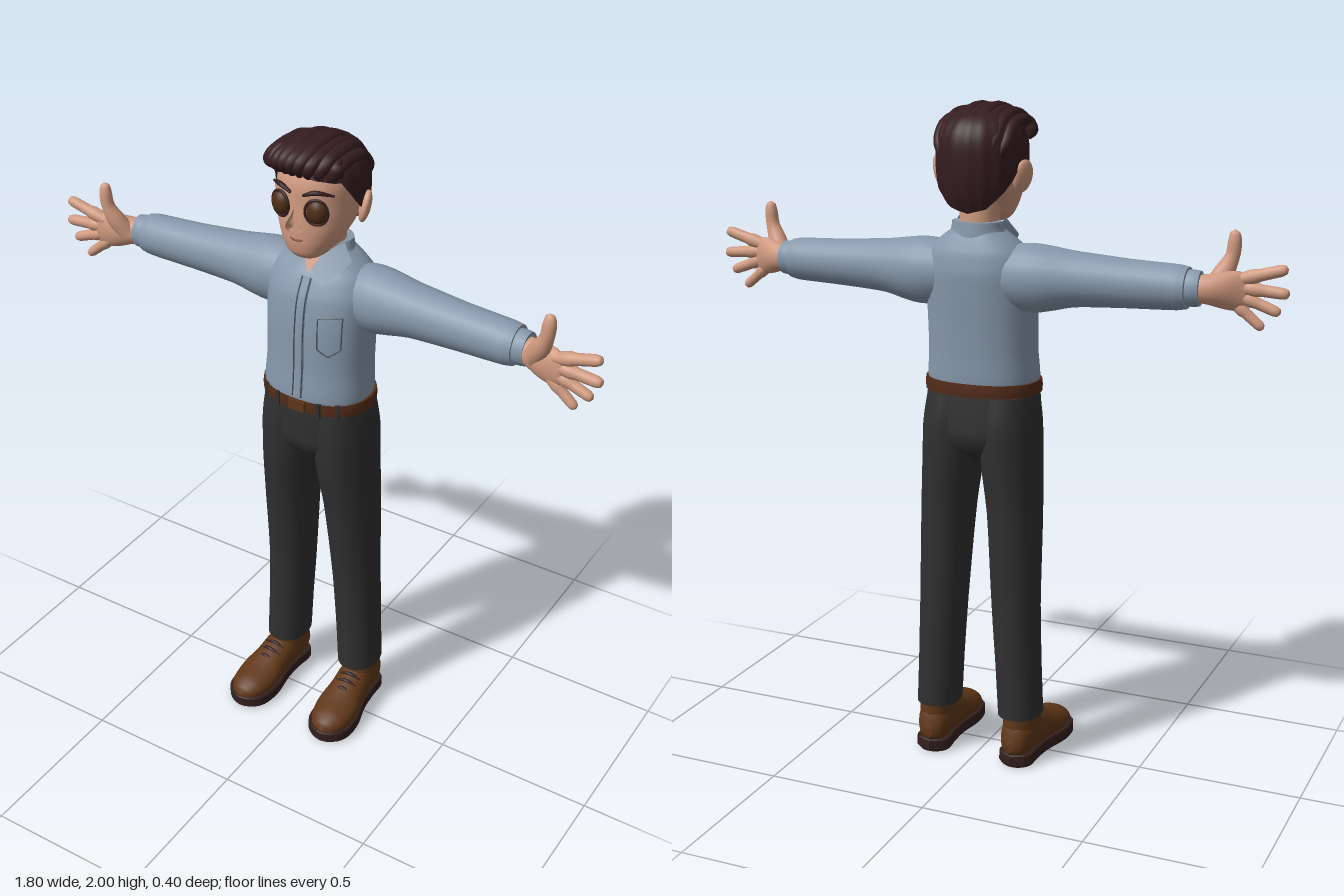
import * as THREE from 'three';

const mat = (name, color, side = THREE.FrontSide) =>
  Object.assign(new THREE.MeshStandardMaterial({ color, side }), { name });
const V = (x, y, z) => new THREE.Vector3(x, y, z);
const X = V(1, 0, 0), Y = V(0, 1, 0), Z = V(0, 0, 1);

// Superelliptic tube through sections [x, y, z, ra, rb]; axis fixes the ring plane
function sweep(sections, { up = Z, axis = null, seg = 24, steps = 4, p = 1 } = {}) {
  const path = new THREE.CatmullRomCurve3(sections.map(s => V(s[0], s[1], s[2])));
  const size = new THREE.CatmullRomCurve3(sections.map(s => V(s[3], s[4], 0)));
  const n = (sections.length - 1) * steps, pos = [], idx = [];
  for (let i = 0; i <= n; i++) {
    const c = path.getPoint(i / n), r = size.getPoint(i / n);
    const T = axis || path.getTangent(i / n);
    const A = V().crossVectors(T, up).normalize(), B = V().crossVectors(A, T).normalize();
    for (let j = 0; j < seg; j++) {
      const a = j / seg * Math.PI * 2, ca = Math.cos(a), sa = Math.sin(a);
      const q = c.clone()
        .addScaledVector(A, r.x * Math.sign(ca) * Math.abs(ca) ** p)
        .addScaledVector(B, r.y * Math.sign(sa) * Math.abs(sa) ** p);
      pos.push(q.x, q.y, q.z);
      if (i < n) {
        const k = i * seg + j, l = i * seg + (j + 1) % seg;
        idx.push(k, k + seg, l, l, k + seg, l + seg);
      }
    }
  }
  // end caps with their own vertices
  for (const [row, flip] of [[0, false], [n, true]]) {
    const base = pos.length / 3, c = path.getPoint(row / n);
    for (let j = 0; j < seg; j++) pos.push(...pos.slice((row * seg + j) * 3, (row * seg + j) * 3 + 3));
    pos.push(c.x, c.y, c.z);
    for (let j = 0; j < seg; j++) {
      const k = base + j, l = base + (j + 1) % seg;
      idx.push(base + seg, flip ? l : k, flip ? k : l);
    }
  }
  return build(pos, idx);
}

function build(pos, idx) {
  const g = new THREE.BufferGeometry();
  g.setAttribute('position', new THREE.Float32BufferAttribute(pos, 3));
  g.setIndex(idx);
  g.computeVertexNormals();
  return g;
}

// Linear lookup in a table of [key, value]
function lookup(table, k) {
  let i = 0;
  while (i < table.length - 2 && k > table[i + 1][0]) i++;
  const [a, b] = [table[i], table[i + 1]];
  return THREE.MathUtils.lerp(a[1], b[1], THREE.MathUtils.clamp((k - a[0]) / (b[0] - a[0]), 0, 1));
}

const torso = [[0, 1.17, -.045, .163, .121], [0, 1.21, -.045, .168, .126], [0, 1.3, -.05, .163, .123],
  [0, 1.42, -.055, .165, .124], [0, 1.52, -.065, .168, .119], [0, 1.58, -.075, .152, .1],
  [0, 1.62, -.083, .11, .076], [0, 1.65, -.085, .068, .06]];
const torsoP = .85;
// Shirt front depth at a given place
function shirtFront(x, y) {
  const at = i => lookup(torso.map(s => [s[1], s[i]]), y);
  const n = 2 / torsoP;
  return at(2) + at(4) * (1 - Math.min(1, Math.abs(x) / at(3)) ** n) ** (1 / n);
}

export function createModel() {
  const root = new THREE.Group();
  root.name = 'standingMan';
  const skin = mat('skin', 0xd09a80), hair = mat('hair', 0x351d20, THREE.DoubleSide),
    shirt = mat('shirt', 0x8798ab, THREE.DoubleSide), seam = mat('seam', 0x4c5763),
    trousers = mat('trousers', 0x303030), leather = mat('shoeLeather', 0x603718),
    sole = mat('sole', 0x33201e), beltMat = mat('belt', 0x542c1a),
    eyeMat = mat('eyeBrown', 0x4d2e16), lip = mat('lip', 0x7d4538);
  const add = (name, geo, m, parent = root) => {
    const mesh = new THREE.Mesh(geo, m);
    mesh.name = name;
    parent.add(mesh);
    return mesh;
  };
  const upright = { axis: Y, seg: 40 };

  // Shirt body, placket, seams and pocket
  add('shirtBody', sweep(torso, { ...upright, p: torsoP }), shirt);
  const strip = (x, ra, rb, out) => sweep(torso.slice(1, 6).map(s => [x, s[1], s[2] + s[4] + out, ra, rb]), { axis: Y, seg: 8 });
  add('placket', strip(0, .016, .004, 0), shirt);
  for (const x of [-.016, .012]) add('placketSeam', strip(x, .002, .003, .001), seam);
  const pocket = [[.055, 1.475], [.122, 1.485], [.122, 1.385], [.09, 1.36], [.058, 1.38]];
  pocket.forEach(([x0, y0], i) => {
    const [x1, y1] = pocket[(i + 1) % pocket.length];
    const pts = [0, .33, .67, 1].map(t => {
      const x = x0 + (x1 - x0) * t, y = y0 + (y1 - y0) * t;
      return [x, y, shirtFront(x, y), .0022, .003];
    });
    add('pocketSeam', sweep(pts, { seg: 6, steps: 2 }), seam);
  });

  // Collar band, flaps and open neck
  add('collarBand', sweep([[0, 1.62, -.085, .092, .072], [0, 1.645, -.088, .08, .066], [0, 1.668, -.095, .074, .056]],
    upright), shirt);
  for (const s of [1, -1]) {
    const flap = [[.006, 1.608, .014], [.058, 1.575, .042], [.108, 1.628, -.04], [.074, 1.675, -.055], [.03, 1.645, -.01]];
    add('collarFlap', build(flap.flatMap(([x, y, z]) => [x * s, y, z]),
      s > 0 ? [0, 1, 4, 1, 2, 4, 2, 3, 4] : [0, 4, 1, 1, 4, 2, 2, 4, 3]), shirt);
  }
  add('openNeck', build([-.036, 1.655, -.01, 0, 1.593, .024, .036, 1.655, -.01], [0, 1, 2]), skin);
  add('neck', sweep([[0, 1.58, -.08, .06, .056], [0, 1.66, -.078, .058, .057], [0, 1.74, -.065, .062, .065]], upright), skin);

  // Trouser seat, belt and buckle
  add('trouserSeat', sweep([[0, .955, -.06, .02, .06], [0, 1, -.055, .13, .11], [0, 1.05, -.053, .178, .125],
    [0, 1.12, -.049, .176, .123], [0, 1.175, -.046, .17, .12]], { ...upright, p: .9 }), trousers);
  add('belt', sweep([[0, 1.162, -.046, .176, .128], [0, 1.18, -.046, .177, .129], [0, 1.2, -.046, .175, .128]],
    { ...upright, p: .87 }), beltMat);
  add('buckle', new THREE.BoxGeometry(.055, .034, .012), leather).position.set(0, 1.181, .083);
  for (const s of [1, -1])
    for (const x of [.07, .12])
      add('beltLoop', new THREE.BoxGeometry(.012, .046, .012), trousers).position.set(s * x, 1.18, x < .1 ? .075 : .05);

  for (const s of [1, -1]) {
    const m = list => list.map(([x, ...r]) => [x * s, ...r]);

    // Trouser leg
    add('trouserLeg', sweep(m([[.137, .155, -.08, .066, .081], [.13, .3, -.08, .067, .081], [.12, .5, -.078, .071, .084],
      [.108, .8, -.062, .079, .104], [.096, .95, -.055, .086, .12], [.09, 1.06, -.053, .088, .124],
      [.085, 1.16, -.048, .08, .115]]), { axis: Y, seg: 28, p: .92 }), trousers);

    // Sleeve and cuff
    add('sleeve', sweep(m([[.06, 1.515, -.08, .085, .08], [.17, 1.511, -.08, .1, .091], [.3, 1.515, -.073, .08, .077],
      [.45, 1.513, -.067, .07, .067], [.6, 1.512, -.062, .064, .062], [.626, 1.512, -.062, .059, .058]])), shirt);
    add('cuff', sweep(m([[.61, 1.512, -.06, .051, .047], [.64, 1.512, -.059, .052, .047], [.66, 1.512, -.058, .05, .044]])), shirt);

    // Hand with four fingers and a thumb
    const hand = new THREE.Group();
    hand.name = s > 0 ? 'leftHand' : 'rightHand';
    root.add(hand);
    add('palm', sweep(m([[.64, 1.512, -.057, .038, .034], [.68, 1.51, -.048, .043, .038], [.72, 1.508, -.032, .053, .034],
      [.755, 1.506, -.02, .056, .024], [.78, 1.506, -.013, .046, .016], [.79, 1.506, -.012, .02, .006]])), skin, hand);
    const digit = (name, [x0, y0, z0], [x1, y1, z1], r) => {
      const at = (t, k) => [x0 + (x1 - x0) * t, y0 + (y1 - y0) * t, z0 + (z1 - z0) * t, r * k, r * k];
      add(name, sweep(m([at(0, 1), at(.45, 1), at(.85, .95), at(.96, .7), at(1, .08)]), { seg: 14 }), skin, hand);
    };
    digit('indexFinger', [.755, 1.537, -.017], [.893, 1.575, -.012], .0175);
    digit('middleFinger', [.76, 1.516, -.016], [.9, 1.505, -.012], .0175);
    digit('ringFinger', [.755, 1.495, -.016], [.876, 1.45, -.012], .0165);
    digit('littleFinger', [.74, 1.477, -.018], [.83, 1.403, -.014], .0155);
    add('thumb', sweep(m([[.685, 1.51, -.03, .03, .028], [.712, 1.555, -.012, .029, .025], [.732, 1.6, -.003, .021, .019],
      [.737, 1.64, -.002, .02, .018], [.737, 1.665, -.003, .014, .012], [.737, 1.673, -.003, .002, .002]]), { seg: 16 }), skin, hand);

    // Shoe
    const shoe = new THREE.Group();
    shoe.name = s > 0 ? 'leftShoe' : 'rightShoe';
    shoe.position.x = s * .147;
    shoe.rotation.y = s * .06;
    root.add(shoe);
    const half = [[.048, -.135], [.05, -.07], [.054, 0], [.072, .09], [.06, .165]];
    const outline = new THREE.Shape(new THREE.SplineCurve([[0, -.163], ...half, [0, .2],
      ...half.map(([x, z]) => [-x, z]).reverse(), [0, -.163]].map(([x, z]) => new THREE.Vector2(x, -z))).getPoints(48));
    const soleGeo = new THREE.ExtrudeGeometry(outline, { depth: .03, bevelEnabled: true, bevelSize: .003, bevelThickness: .004, bevelSegments: 1 });
    add('shoeSole', soleGeo.rotateX(-Math.PI / 2).translate(0, .008, 0), sole, shoe);
    add('heel', new THREE.CylinderGeometry(.05, .05, .02, 24), sole, shoe).position.set(0, .01, -.108);
    add('shoeUpper', sweep([[0, .065, -.165, .01, .015], [0, .08, -.15, .038, .05], [0, .088, -.11, .054, .068],
      [0, .085, -.04, .057, .067], [0, .073, .02, .06, .057], [0, .06, .09, .069, .043], [0, .052, .15, .06, .036],
      [0, .045, .185, .036, .024], [0, .042, .198, .005, .005]], { up: Y, axis: Z, seg: 28 }), leather, shoe);
    add('shoeAnkle', sweep([[0, .08, -.075, .056, .078], [0, .13, -.08, .055, .074], [0, .17, -.083, .054, .068]],
      { axis: Y }), leather, shoe);
    for (const [y, z] of [[.138, 0], [.128, .025], [.115, .05]])
      add('lace', sweep([[-.035, y - .016, z, .005, .005], [0, y, z + .003, .006, .006], [.035, y - .016, z, .005, .005]],
        { up: Y, seg: 8 }), sole, shoe);

    // Ear, eye, eye rim and brow
    const ear = add('ear', new THREE.SphereGeometry(1, 20, 14), skin);
    ear.scale.set(.016, .049, .033);
    ear.position.set(s * .131, 1.798, -.068);
    ear.rotation.set(0, s * .5, -s * .22);
    const eye = add('eye', new THREE.SphereGeometry(1, 24, 16), eyeMat);
    eye.scale.set(.031, .036, .024);
    eye.position.set(s * .058, 1.815, .064);
    eye.rotation.y = s * .2;
    const rim = add('eyeRim', new THREE.TorusGeometry(.033, .004, 8, 28), hair);
    rim.scale.y = 1.12;
    rim.position.set(s * .058, 1.815, .07);
    rim.rotation.y = s * .28;
    add('eyebrow', sweep(m([[.02, 1.86, .078, .005, .004], [.055, 1.874, .073, .008, .007], [.098, 1.862, .04, .003, .003]]),
      { up: Y, seg: 10 }), hair);
  }

  // Head, nose and mouth
  add('head', sweep([[0, 1.652, .025, .01, .01], [0, 1.658, .022, .04, .036], [0, 1.675, .012, .063, .062],
    [0, 1.71, -.007, .086, .089], [0, 1.75, -.028, .105, .111], [0, 1.8, -.045, .115, .125], [0, 1.87, -.05, .118, .126],
    [0, 1.93, -.055, .1, .11], [0, 1.965, -.055, .04, .05]], { ...upright, p: .93 }), skin);
  add('nose', sweep([[0, 1.835, .068, .008, .008], [0, 1.8, .085, .012, .013], [0, 1.772, .1, .021, .02],
    [0, 1.755, .09, .019, .014], [0, 1.748, .08, .003, .003]], { axis: Y, seg: 16 }), skin);
  add('mouth', sweep([[-.032, 1.728, .074, .002, .002], [0, 1.722, .083, .004, .003], [.032, 1.728, .074, .002, .002]],
    { up: Y, seg: 8 }), lip);

  // Hair cap: crown to a hairline that changes around the head
  const hairline = [[0, 1.915], [55, 1.895], [72, 1.84], [86, 1.8], [100, 1.835], [125, 1.76], [150, 1.71], [180, 1.695]];
  const cols = 72, rows = 18, pos = [], idx = [];
  for (let i = 0; i <= rows; i++)
    for (let j = 0; j < cols; j++) {
      const deg = j / cols * 360, a = deg * Math.PI / 180;
      const y = 1.984 - (1.984 - lookup(hairline, Math.min(deg, 360 - deg))) * (i / rows) ** 1.7;
      const t = Math.abs(y - 1.86) / (y > 1.86 ? .124 : .22);
      const r = Math.max(0, 1 - t ** 2.5) ** .4 * (1 + .012 * Math.sin(j * Math.PI / 2));
      pos.push(.134 * r * Math.sin(a), y, -.056 + .138 * r * Math.cos(a));
      if (i < rows) {
        const k = i * cols + j, l = i * cols + (j + 1) % cols;
        idx.push(k, k + cols, l, l, k + cols, l + cols);
      }
    }
  add('hairCap', build(pos, idx), hair);

  // Swept-back locks
  for (let i = -4; i <= 4; i++) {
    const u = i / 4, q = u * u, x = .1 * u, drop = .032 * q, lift = i % 2 ? .004 : 0;
    add('hairLock', sweep([[x * .85 - .018, 1.912 - drop * .5, .074 - .045 * q, .007, .01],
      [x - .014, 1.95 - drop, .086 - .05 * q, .018, .02], [x, 1.976 - drop + lift, .03, .018, .022],
      [x * 1.02, 1.973 - drop + lift, -.08, .017, .021], [x, 1.925 - drop, -.163 + .03 * q, .014, .018],
      [x * .8, 1.84, -.184 + .03 * q, .005, .008]], { up: X, seg: 12, steps: 6 }), hair);
  }
  add('hairSpike', sweep([[.09, 1.92, .02, .022, .022], [.104, 1.945, .03, .014, .014], [.112, 1.974, .035, .002, .002]],
    { seg: 10 }), hair);
  return root;
}
